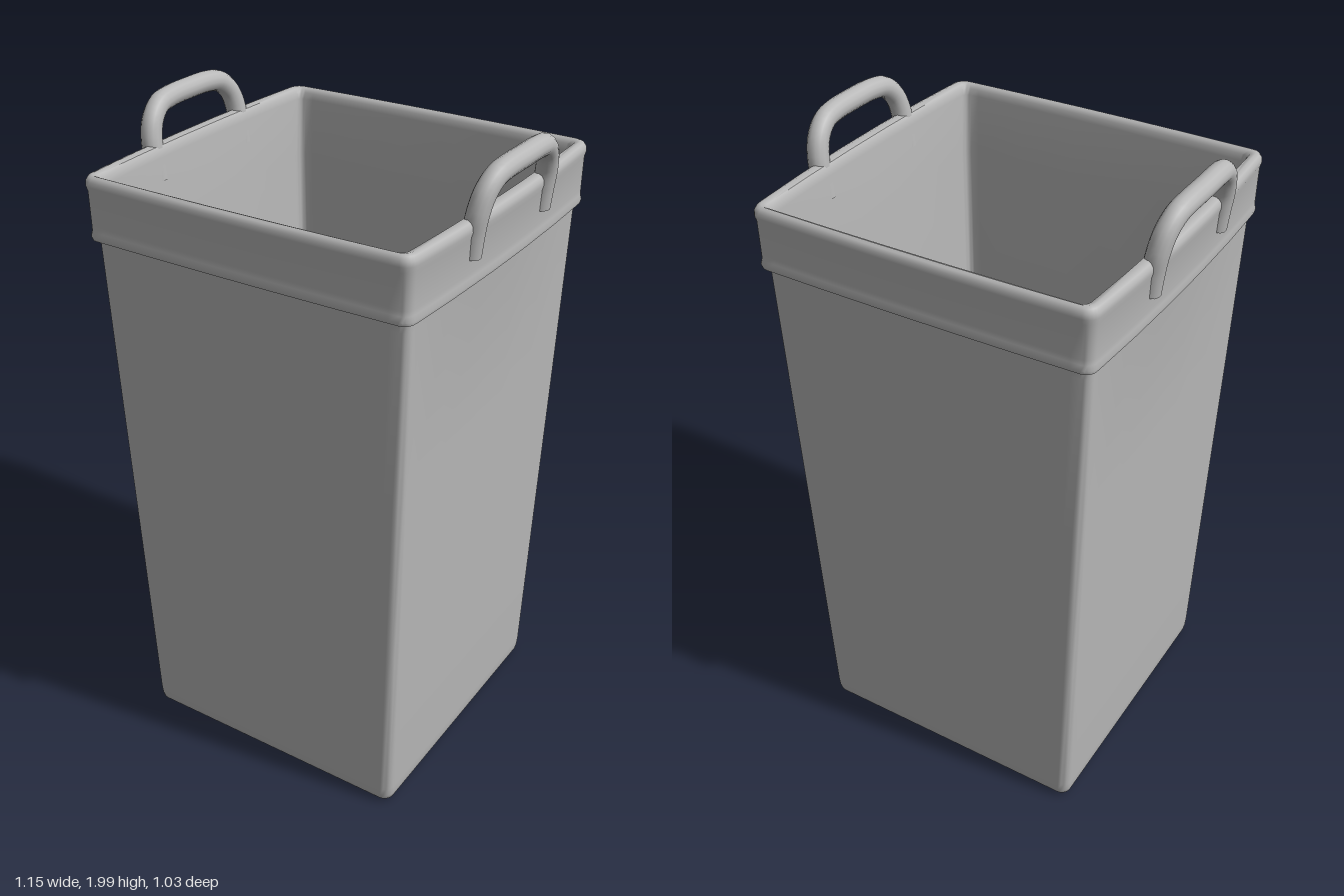
import * as THREE from 'three';
import { toCreasedNormals } from 'three/addons/utils/BufferGeometryUtils.js';

const ARC = 5;
const SIDE = [0.03, 0.2, 0.4, 0.6, 0.8, 0.97];

// One rounded-rectangle cross-section whose sides may bow outward
function ring([hx, hz, y, r, bow = 0]) {
  const corners = [[1, 1], [-1, 1], [-1, -1], [1, -1]].map(([sx, sz], k) => {
    const arc = [];
    for (let i = 0; i <= ARC; i++) {
      const a = (k + i / ARC) * Math.PI / 2;
      arc.push(new THREE.Vector3(sx * (hx - r) + r * Math.cos(a), y, sz * (hz - r) + r * Math.sin(a)));
    }
    return arc;
  });
  const points = [];
  corners.forEach((arc, k) => {
    points.push(...arc);
    const next = corners[(k + 1) % 4][0];
    SIDE.forEach(t => points.push(arc[ARC].clone().lerp(next, t)));
  });
  return points.map(p => new THREE.Vector3(
    p.x * (1 + bow * (1 - (p.z / hz) ** 2)), y,
    p.z * (1 + 0.4 * bow * (1 - (p.x / hx) ** 2))));
}

// Skin a stack of cross-sections, optionally closing both ends
function loft(sections, capped) {
  const rings = sections.map(ring);
  const n = rings[0].length;
  const points = rings.flat();
  const index = [];
  for (let i = 0; i < rings.length - 1; i++) {
    for (let j = 0; j < n; j++) {
      const a = i * n + j, b = i * n + (j + 1) % n;
      index.push(a, a + n, b, b, a + n, b + n);
    }
  }
  if (capped) {
    const last = (rings.length - 1) * n;
    const c = points.length;
    points.push(new THREE.Vector3(0, sections[0][2], 0));
    points.push(new THREE.Vector3(0, sections[sections.length - 1][2], 0));
    for (let j = 0; j < n; j++) {
      const k = (j + 1) % n;
      index.push(c, j, k, c + 1, last + k, last + j);
    }
  }
  const geometry = new THREE.BufferGeometry().setFromPoints(points);
  geometry.setIndex(index);
  return toCreasedNormals(geometry, 0.75);
}

// Arched carrying handle leaning outward, for the +x side
function handleGeometry() {
  const half = [
    [0.508, 1.76, 0.2], [0.515, 1.82, 0.2], [0.523, 1.875, 0.197],
    [0.531, 1.925, 0.178], [0.538, 1.958, 0.14], [0.542, 1.968, 0.09],
  ];
  const path = [...half, [0.544, 1.97, 0], ...half.slice().reverse().map(([x, y, z]) => [x, y, -z])];
  const curve = new THREE.CatmullRomCurve3(path.map(p => new THREE.Vector3(...p)));
  return new THREE.TubeGeometry(curve, 48, 0.031, 14);
}

export function createModel() {
  const model = new THREE.Group();
  model.name = 'laundryBin';
  const plastic = new THREE.MeshStandardMaterial({ color: 0xb8b8b8 });
  plastic.name = 'grey plastic';

  const add = (name, geometry) => {
    const mesh = new THREE.Mesh(geometry, plastic);
    mesh.name = name;
    model.add(mesh);
    return mesh;
  };

  // Tapered outer wall with a rounded foot, then the collar, then the inside wall and floor
  add('bin', loft([
    [0.415, 0.415, 0.01, 0.02],
    [0.425, 0.425, 0.01, 0.025],
    [0.438, 0.436, 0.014, 0.03],
    [0.447, 0.445, 0.025, 0.03],
    [0.45, 0.448, 0.04, 0.03],
    [0.452, 0.45, 0.07, 0.03],
    [0.467, 0.461, 0.6, 0.028],
    [0.483, 0.473, 1.15, 0.026],
    [0.497, 0.484, 1.65, 0.025],
    [0.498, 0.485, 1.68, 0.025, 0.01],
    // collar
    [0.503, 0.496, 1.676, 0.025, 0.02],
    [0.509, 0.504, 1.68, 0.028, 0.03],
    [0.511, 0.507, 1.69, 0.028, 0.03],
    [0.508, 0.503, 1.705, 0.027, 0.03],
    [0.508, 0.503, 1.72, 0.027, 0.03],
    [0.509, 0.504, 1.82, 0.027, 0.04],
    [0.513, 0.508, 1.836, 0.03, 0.04],
    [0.512, 0.507, 1.85, 0.03, 0.04],
    [0.506, 0.501, 1.861, 0.028, 0.04],
    [0.496, 0.493, 1.865, 0.025, 0.04],
    [0.482, 0.485, 1.861, 0.02, 0.03],
    [0.475, 0.478, 1.85, 0.02, 0.03],
    [0.473, 0.476, 1.83, 0.02, 0.03],
    // inside
    [0.47, 0.466, 1.65, 0.02, 0.01],
    [0.455, 0.448, 1.1, 0.02],
    [0.44, 0.434, 0.55, 0.02],
    [0.427, 0.422, 0.08, 0.02],
    [0.425, 0.42, 0.055, 0.02],
    [0.419, 0.414, 0.044, 0.02],
    [0.408, 0.403, 0.04, 0.015],
    [0.395, 0.39, 0.04, 0.015],
  ], true));

  // Handles with flat lower ends
  const geometry = handleGeometry();
  const end = new THREE.CircleGeometry(0.031, 14).rotateX(Math.PI / 2);
  for (const side of [1, -1]) {
    const handle = new THREE.Group();
    handle.name = side > 0 ? 'leftHandle' : 'rightHandle';
    const grip = new THREE.Mesh(geometry, plastic);
    grip.name = 'grip';
    handle.add(grip);
    for (const z of [0.2, -0.2]) {
      const cap = new THREE.Mesh(end, plastic);
      cap.name = 'gripEnd';
      cap.position.set(0.508, 1.76, z);
      handle.add(cap);
    }
    if (side < 0) handle.rotation.y = Math.PI;
    model.add(handle);
  }

  // Stand the bin on the ground
  model.children.forEach(part => { part.position.y -= 0.005; });
  return model;
}
